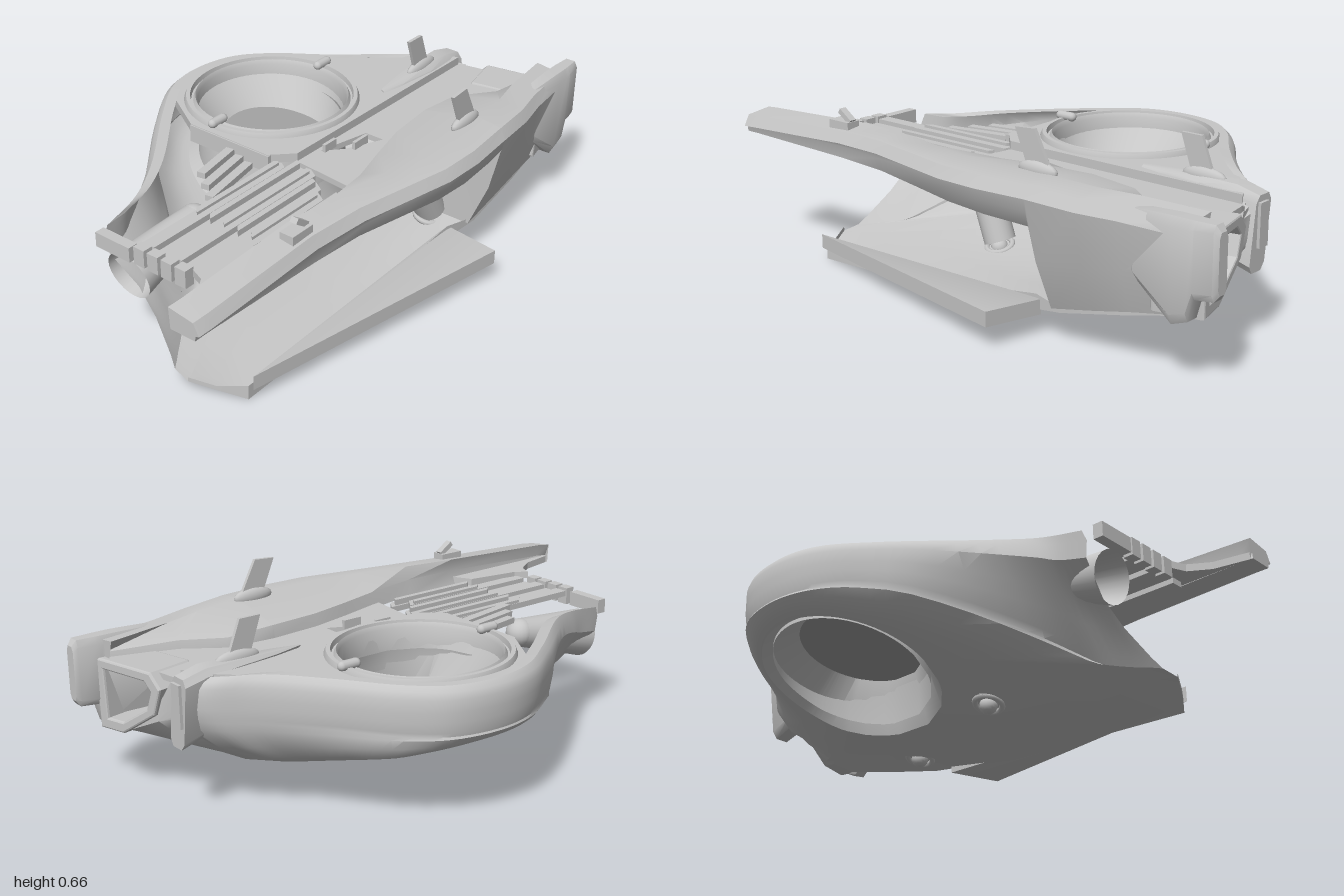
import * as THREE from 'three';
import { toCreasedNormals } from 'three/addons/utils/BufferGeometryUtils.js';

const V = (x, y, z) => new THREE.Vector3(x, y, z);
const D = THREE.DoubleSide;

// Skin a surface over rows of points
function loft(rows, closed = false, caps = false) {
  const n = rows[0].length, pos = [], idx = [];
  rows.forEach(r => r.forEach(p => pos.push(p.x, p.y, p.z)));
  for (let i = 0; i < rows.length - 1; i++)
    for (let j = 0; j < (closed ? n : n - 1); j++) {
      const k = (j + 1) % n, a = i * n + j, b = i * n + k;
      idx.push(a, a + n, b, b, a + n, b + n);
    }
  if (caps) for (const [o, f] of [[0, 0], [(rows.length - 1) * n, 1]])
    for (let j = 1; j < n - 1; j++) f ? idx.push(o, o + j + 1, o + j) : idx.push(o, o + j, o + j + 1);
  const g = new THREE.BufferGeometry();
  g.setAttribute('position', new THREE.Float32BufferAttribute(pos, 3));
  g.setIndex(idx);
  return toCreasedNormals(g, 0.6);
}

const shape = pts => new THREE.Shape(pts.map(p => new THREE.Vector2(p[0], p[1])));
const lerp = (table, x) => {
  let i = 0;
  while (i < table.length - 2 && x > table[i + 1][0]) i++;
  const [a, b] = [table[i], table[i + 1]];
  return a[1] + (b[1] - a[1]) * Math.min(1, Math.max(0, (x - a[0]) / (b[0] - a[0])));
};

// Height of the underside: a keel at the front edge blending to a level slope at the back
const keel = [[-0.8, 0.035], [-0.7, 0.02], [0, 0.05], [0.2, 0.075], [0.4, 0.12], [0.9, 0.235]];
const belly = (x, z) => {
  const w = THREE.MathUtils.smoothstep(0.37 - z, 0, 0.4);
  const front = lerp(keel, x) + 0.27 * Math.max(0, 0.37 - z);
  const back = 0.11 - 0.34 * z + 0.2 * Math.max(0, x - 0.4);
  return front + (back - front) * w;
};

export function createModel() {
  const model = new THREE.Group();
  const hull = new THREE.MeshStandardMaterial({ color: 0xc6c6c6, side: D });
  hull.name = 'hull grey';
  const dark = new THREE.MeshStandardMaterial({ color: 0xa2a2a2, side: D });
  dark.name = 'duct floor grey';
  const add = (name, geo, mat = hull, parent = model) => {
    const m = new THREE.Mesh(geo, mat);
    m.name = name;
    parent.add(m);
    return m;
  };
  const box = (name, w, h, d, x, y, z, ry = 0, rz = 0) => {
    const m = add(name, new THREE.BoxGeometry(w, h, d));
    m.position.set(x, y, z);
    m.rotation.set(0, ry, rz);
    return m;
  };
  // Flat plate in plan, y is its top
  const plate = (name, pts, y, t, holes = []) => {
    const s = shape(pts.map(p => [p[0], -p[1]]));
    s.holes.push(...holes);
    const m = add(name, new THREE.ExtrudeGeometry(s, { depth: t, bevelEnabled: false, curveSegments: 32 }));
    m.rotation.x = -Math.PI / 2;
    m.position.y = y - t;
    return m;
  };
  // Upright plate in the xy plane, centred on z
  const upright = (name, pts, z, t) => {
    const m = add(name, new THREE.ExtrudeGeometry(shape(pts), { depth: t, bevelEnabled: false }));
    m.position.z = z - t / 2;
    return m;
  };

  // Lower shell: radial skin from the duct mouth to the outline, then up the rear wall
  const cx = 0.155, cz = -0.25;
  const rear = new THREE.CatmullRomCurve3([[-0.8, 0.44, -0.15], [-0.65, 0.46, -0.175], [-0.5, 0.48, -0.245],
    [-0.2, 0.495, -0.47], [-0.02, 0.5, -0.585], [0.13, 0.5, -0.615], [0.3, 0.5, -0.58], [0.42, 0.5, -0.48],
    [0.55, 0.5, -0.3], [0.7, 0.5, -0.12], [0.8, 0.49, -0.03], [0.85, 0.48, 0.05]].map(p => V(...p)));
  const outline = rear.getPoints(60).map(p => {
    const tuck = lerp([[-0.8, 0.3], [-0.25, 0]], p.x), low = belly(p.x, p.z + tuck);
    return { x: p.x, z: p.z, top: p.y, lip: 0.16, tuck, dent: lerp([[-0.8, 0.08], [-0.6, 0]], p.x),
      base: low + (0.345 - low) * lerp([[-0.65, 0], [-0.1, 1]], p.x) };
  });
  const edge = [[0.84, 0.1, 0.46, 0.33], [0.86, 0.16, 0.36, 0.31], [0.885, 0.3, 0.255, 0.245], [0.91, 0.42, 0.25, 0.24],
    [0.65, 0.43], [0.42, 0.43], [0.3, 0.4], [0, 0.385], [-0.35, 0.378], [-0.7, 0.37], [-0.75, 0.29], [-0.79, 0.21]];
  edge.forEach(([x, z, top, base = belly(x, z)]) =>
    outline.push({ x, z, base, top: top ?? base + (z > 0.3 && x < 0.4 ? 0.05 : 0.015), lip: 0, tuck: 0, dent: 0 }));
  const oval = (rx, rz, zc, yf) => outline.map(o => {
    const a = Math.atan2(o.z - cz, o.x - cx), x = cx + rx * Math.cos(a), z = zc + rz * Math.sin(a);
    return V(x, yf(x, z), z);
  });
  const mouth = oval(0.295, 0.295, cz, belly);
  const floorY = (x, z) => 0.325 - 0.2 * (z + 0.21);
  const throat = oval(0.2, 0.21, -0.21, floorY);
  const rows = [mouth];
  for (const t of [0.25, 0.5, 0.75, 0.94]) rows.push(outline.map((o, i) => {
    const x = mouth[i].x + (o.x - mouth[i].x) * t, z = mouth[i].z + (o.z + o.tuck - mouth[i].z) * t;
    return V(x, belly(x, z) + (o.base - belly(o.x, o.z + o.tuck)) * t ** 3, z);
  }));
  for (const [f, inset] of [[0, 0.02], [0.08, 0.012], [0.3, 0], [0.5, 0], [0.75, 0], [0.9, 0.025], [1, 0.07]])
    rows.push(outline.map(o => {
      const s = o.lip ? 1 - inset : 1;
      return V(cx + (o.x - cx) * s + o.dent * 4 * f * (1 - f), o.base + (o.top - o.base) * f,
        cz + (o.z - cz) * s + o.tuck * Math.max(0, 1 - f / 0.75));
    }));
  rows.push(outline.map(o => V(cx + (o.x - cx) * (1 - o.lip), o.top, cz + (o.z - cz) * (1 - o.lip))));
  add('lowerShell', loft(rows.map(r => [...r, r[0]]).map(r => r.slice(0, -1))));
  // Strip that closes the shell across the left end of the floor
  const last = outline.length - 1;
  add('leftFloor', loft(rows.slice(0, 6).map(r => [r[last], r[0]])));

  // Wedge lip along the open front
  const lip = [[-0.7, 0.065, 0.39], [0.28, 0.095, 0.605], [0.32, 0.085, 0.4], [0.3, 0.075, 0.38]];
  add('frontLip', loft([0, 0.05].map(h => lip.map(([x, y, z]) => V(x, y + h, z))), true, true));

  // Duct with its floor inside an outer drum
  const collar = oval(0.262, 0.262, cz, () => 0.46);
  add('duct', loft([collar, throat, mouth].map(r => [...r, r[0]])));
  add('drum', loft([oval(0.26, 0.26, cz, (x, z) => belly(x, z) + 0.02), oval(0.255, 0.255, cz, () => 0.37), oval(0.245, 0.245, cz, () => 0.42)].map(r => [...r, r[0]])));
  add('ductFloor', loft([throat, throat.map(() => V(cx, floorY(cx, -0.21), -0.21))], true), dark);

  // Ring around the duct
  const profile = [[0.255, 0.42], [0.256, 0.49], [0.264, 0.505], [0.272, 0.49], [0.279, 0.49], [0.282, 0.508], [0.296, 0.508], [0.304, 0.49], [0.304, 0.44]];
  const ring = add('rotorRing', toCreasedNormals(new THREE.LatheGeometry(profile.map(p => new THREE.Vector2(...p)), 64), 0.5));
  ring.position.set(cx, 0, cz);
  for (const s of [-1, 1]) {
    const lug = add('ringLug', new THREE.CapsuleGeometry(0.016, 0.05, 4, 12));
    lug.rotation.z = Math.PI / 2;
    lug.position.set(cx + s * 0.28, 0.513, cz);
  }

  // Raised deck around the ring and a lower channel deck in front of it, with a slot
  const hole = new THREE.Path().absarc(cx, -cz, 0.295, 0, Math.PI * 2);
  const slot = new THREE.Path([[0, -0.085], [0.19, -0.13], [0.19, -0.2], [0.06, -0.14]].map(p => new THREE.Vector2(...p)));
  plate('ringDeck', [[-0.17, -0.33], [-0.17, 0.0], [-0.1, 0.07], [0.82, 0.08], [0.78, 0], [0.6, -0.18],
    [0.46, -0.38], [0.34, -0.51], [0.13, -0.58], [-0.05, -0.53]], 0.492, 0.03, [hole]);
  plate('channelDeck', [[-0.1, 0.06], [-0.13, 0.36], [0.2, 0.4], [0.88, 0.42], [0.83, 0.1], [0.82, 0.06]], 0.463, 0.02, [slot]);
  box('deckVent', 0.07, 0.03, 0.012, 0.11, 0.475, 0.165);
  box('deckVent', 0.06, 0.03, 0.012, 0.03, 0.475, 0.1);

  // Front beam growing into the side cowl: x, back z, front z, top, bottom, bottom z, mid z
  const stations = [[-1, 0.36, 0.465, 0.52, 0.45, 0.45, 0.455], [-0.95, 0.36, 0.47, 0.525, 0.45, 0.45, 0.46], [-0.5, 0.36, 0.47, 0.545, 0.445, 0.46, 0.465],
    [-0.3, 0.35, 0.49, 0.55, 0.44, 0.47, 0.485], [-0.1, 0.31, 0.53, 0.55, 0.43, 0.5, 0.525], [0.05, 0.27, 0.56, 0.55, 0.42, 0.52, 0.55],
    [0.2, 0.235, 0.565, 0.55, 0.41, 0.52, 0.555], [0.38, 0.22, 0.55, 0.55, 0.4, 0.5, 0.54], [0.385, 0.22, 0.55, 0.55, 0.13, 0.43, 0.5],
    [0.55, 0.23, 0.53, 0.54, 0.165, 0.43, 0.49], [0.68, 0.32, 0.5, 0.535, 0.195, 0.43, 0.475], [0.9, 0.39, 0.47, 0.525, 0.24, 0.43, 0.46]];
  add('frontCowl', loft(stations.map(([x, b, f, t, l, lz, mz]) => [V(x, Math.max(l, t - 0.1), b), V(x, t - 0.045, b + 0.012), V(x, t, f - 0.11),
    V(x, t - 0.012, f - 0.02), V(x, t - 0.05, f), V(x, l + (t - l) * 0.4, mz), V(x, l, lz), V(x, l, Math.min(lz - 0.02, b + 0.1))]), true, true));

  // Wing tip pods: octagonal sections given as x, half width, bottom, top
  const pod = (name, z, lean, sections) => add(name, loft(sections.map(([x, w, lo, hi]) =>
    [[-0.6, 0], [-1, 0.1], [-1, 0.9], [-0.6, 1], [0.6, 1], [1, 0.9], [1, 0.1], [0.6, 0]]
      .map(([s, f]) => V(x, lo + (hi - lo) * f, z + s * w + (0.5 - f) * lean))), true, true));
  pod('frontPod', 0.445, 0, [[0.63, 0.006, 0.42, 0.5], [0.72, 0.03, 0.32, 0.525], [0.85, 0.036, 0.215, 0.53],
    [0.905, 0.036, 0.235, 0.53], [0.925, 0.035, 0.305, 0.53], [0.985, 0.028, 0.31, 0.53], [1, 0.02, 0.33, 0.51]]);
  pod('rearPod', 0.04, 0.03, [[0.42, 0.005, 0.47, 0.5], [0.52, 0.025, 0.42, 0.505], [0.66, 0.042, 0.36, 0.51],
    [0.78, 0.045, 0.28, 0.51], [0.86, 0.04, 0.255, 0.49]]);
  box('rearPodCap', 0.02, 0.14, 0.045, 0.86, 0.4, 0.035);

  // Fins on faired bases
  upright('frontFin', [[0.3, 0.54], [0.39, 0.54], [0.32, 0.675], [0.245, 0.67]], 0.425, 0.012);
  upright('rearFin', [[0.61, 0.5], [0.69, 0.5], [0.64, 0.63], [0.565, 0.63]], 0.03, 0.012);
  for (const [x, y, z, r] of [[0.33, 0.55, 0.425, 0.075], [0.65, 0.505, 0.03, 0.08]]) {
    const base = add('finBase', new THREE.SphereGeometry(1, 20, 10));
    base.scale.set(r, 0.03, 0.022);
    base.position.set(x, y, z);
  }

  // Side intake frame with a recessed back
  const mouthPts = [[-0.41, 0.235], [-0.31, 0.24], [-0.16, 0.335], [-0.13, 0.42], [-0.17, 0.462], [-0.42, 0.457]];
  const innerPts = mouthPts.map(([a, b]) => [-0.28 + (a + 0.28) * 0.8, 0.36 + (b - 0.36) * 0.78]);
  const frame = shape(mouthPts);
  frame.holes.push(shape(innerPts));
  const intake = new THREE.Group();
  intake.name = 'sideIntake';
  intake.rotation.y = Math.PI / 2 + 0.2;
  intake.position.set(0.69, 0, 0.04);
  model.add(intake);
  add('intakeFrame', new THREE.ExtrudeGeometry(frame, { depth: 0.15, bevelEnabled: true, bevelSize: 0.006, bevelThickness: 0.008, bevelSegments: 2 }), hull, intake);
  add('intakeBack', new THREE.ShapeGeometry(shape(mouthPts)), hull, intake);

  // Slats across the open left deck with end blocks
  for (let i = 0; i < 6; i++) {
    const z = 0.035 + i * 0.055, r = [-0.12, -0.08, -0.1, -0.14, -0.2, -0.16][i];
    plate('slat', [[-0.75, z - 0.023], [r, z - 0.023], [r - 0.03, z + 0.023], [-0.75, z + 0.023]], 0.458 - (i % 2) * 0.012, 0.02);
    plate('slatRidge', [[-0.52, z - 0.02], [r - 0.02, z - 0.02], [r - 0.03, z], [-0.54, z]], 0.468, 0.02);
    if (i < 4) box('slatEndBlock', 0.035, 0.06, 0.042, -0.775, 0.435, z);
  }
  plate('cornerFlare', [[-0.78, 0.24], [-0.8, 0.29], [-0.87, 0.335], [-0.99, 0.36], [-0.99, 0.39], [-0.5, 0.4], [-0.55, 0.3], [-0.74, 0.27]], 0.475, 0.025);
  box('endPost', 0.035, 0.05, 0.14, -0.78, 0.43, -0.07);

  // Braces beside the ring
  for (let i = 0; i < 3; i++) box('brace', 0.24 - i * 0.03, 0.02, 0.03, -0.33 + i * 0.03, 0.46, -0.02 - i * 0.055, 0.18);
  box('ringBulkhead', 0.02, 0.06, 0.34, -0.165, 0.46, -0.16);

  // Inner funnel at the left end
  const funnel = add('innerFunnel', new THREE.CylinderGeometry(0.05, 0.085, 0.3, 24, 1, true));
  funnel.rotation.z = -Math.PI / 2 + 0.2;
  funnel.position.set(-0.61, 0.345, -0.05);
  const tip = add('funnelTip', new THREE.SphereGeometry(0.05, 20, 12));
  tip.position.set(-0.465, 0.375, -0.05);

  // Belly nozzles with the pipes above them
  for (const [x, z] of [[0.36, 0.28], [-0.18, 0.04]]) {
    const y = belly(x, z);
    const pipe = add('nozzlePipe', new THREE.CylinderGeometry(0.055, 0.055, 0.13, 24));
    pipe.position.set(x - 0.02, y + 0.08, z);
    pipe.rotation.z = x > 0 ? 0.5 : 0.35;
    const rim = add('nozzleRim', new THREE.TorusGeometry(0.045, 0.01, 8, 28));
    rim.position.set(x, y, z);
    rim.rotation.x = Math.PI / 2 + 0.3;
    const ball = add('nozzleBall', new THREE.SphereGeometry(0.03, 18, 12));
    ball.position.set(x, y - 0.005, z);
  }

  // Small sensor on the front beam
  box('sensorBase', 0.09, 0.03, 0.05, -0.53, 0.545, 0.415);
  box('sensorArm', 0.06, 0.018, 0.025, -0.515, 0.575, 0.415, 0, -0.6);
  return model;
}
